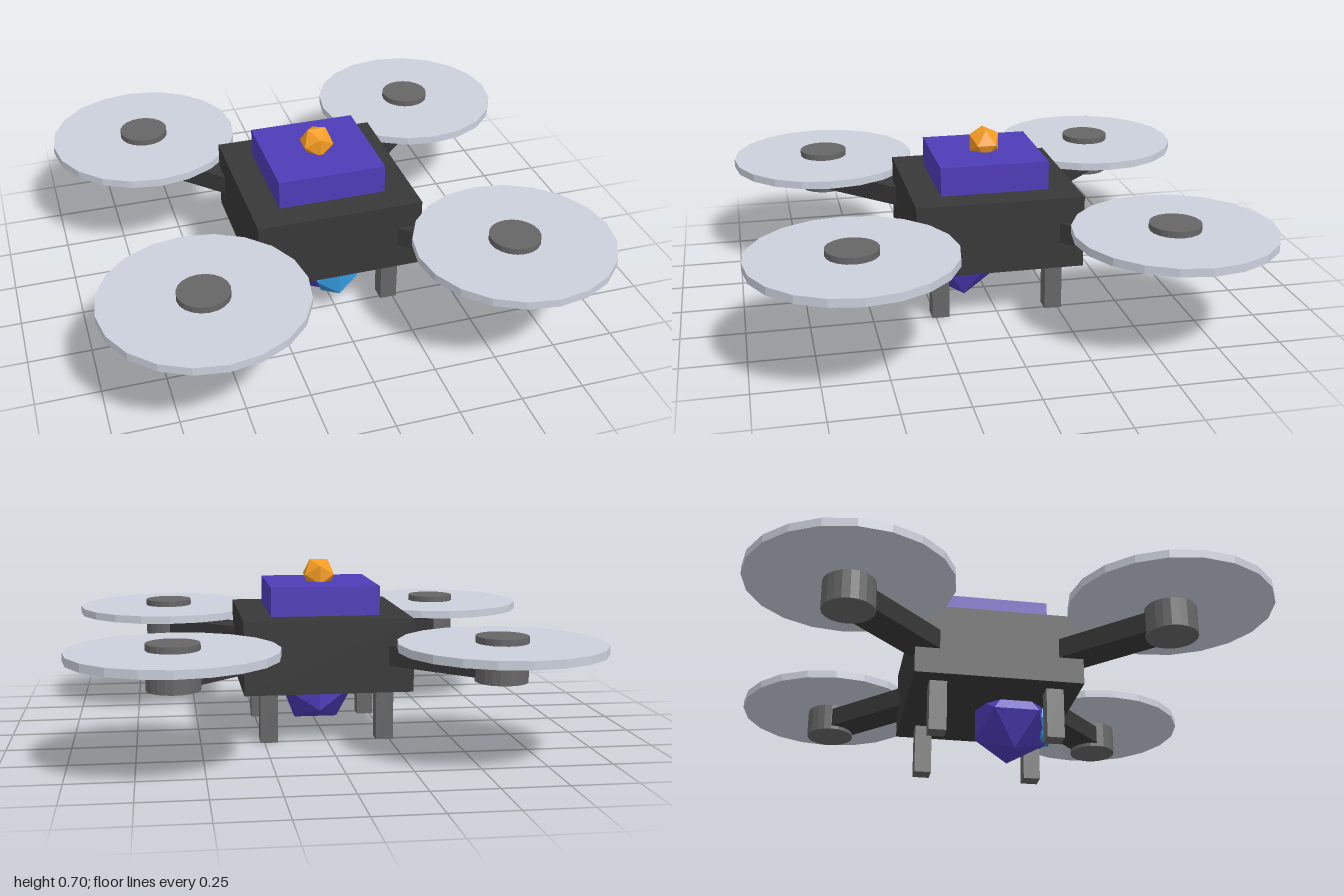
import * as THREE from 'three';

const paint = (color) => new THREE.MeshStandardMaterial({ color, flatShading: true });

export function createModel() {
  const model = new THREE.Group();
  model.name = 'quadcopter';

  const dark = paint(0x383838);
  const grey = paint(0x666666);
  const pale = paint(0xcbd0dc);
  const purple = paint(0x4e3bb8);
  const blue = paint(0x3498db);
  const orange = paint(0xf39c22);

  const add = (parent, name, geometry, material, x, y, z) => {
    const mesh = new THREE.Mesh(geometry, material);
    mesh.name = name;
    mesh.position.set(x, y, z);
    parent.add(mesh);
    return mesh;
  };

  // Body with raised top plate and beacon
  add(model, 'body', new THREE.BoxGeometry(0.666, 0.29, 0.666), dark, 0, 0.35, 0);
  add(model, 'topPlate', new THREE.BoxGeometry(0.433, 0.116, 0.433), purple, 0, 0.553, 0);
  add(model, 'beacon', new THREE.IcosahedronGeometry(0.07), orange, 0, 0.64, 0);

  // Camera slung under the front half
  add(model, 'cameraPod', new THREE.IcosahedronGeometry(0.171), purple, 0, 0.163, 0.102);
  add(model, 'cameraLens', new THREE.IcosahedronGeometry(0.1), blue, 0, 0.16, 0.233);

  // Shared corner parts
  const hub = 0.607;
  const reach = hub * Math.SQRT2; // body centre to rotor axis
  const armLength = reach - 0.25;
  const armGeometry = new THREE.BoxGeometry(0.138, 0.08, armLength);
  const motorGeometry = new THREE.CylinderGeometry(0.1, 0.1, 0.172, 20);
  const rotorGeometry = new THREE.CylinderGeometry(0.391, 0.391, 0.032, 20);
  const legGeometry = new THREE.BoxGeometry(0.069, 0.22, 0.069);

  for (const sx of [-1, 1]) {
    for (const sz of [-1, 1]) {
      const corner = new THREE.Group();
      corner.name = (sz > 0 ? 'front' : 'back') + (sx > 0 ? 'Left' : 'Right') + 'Corner';
      model.add(corner);

      // Diagonal arm from inside the body to the rotor axis
      const mid = (reach - armLength / 2) / Math.SQRT2;
      const arm = add(corner, 'arm', armGeometry, dark, sx * mid, 0.35, sz * mid);
      arm.rotation.y = sx * sz * Math.PI / 4;

      add(corner, 'motor', motorGeometry, grey, sx * hub, 0.381, sz * hub);
      add(corner, 'rotorDisc', rotorGeometry, pale, sx * hub, 0.426, sz * hub);
      add(corner, 'leg', legGeometry, grey, sx * 0.231, 0.11, sz * 0.231);
    }
  }
  return model;
}
